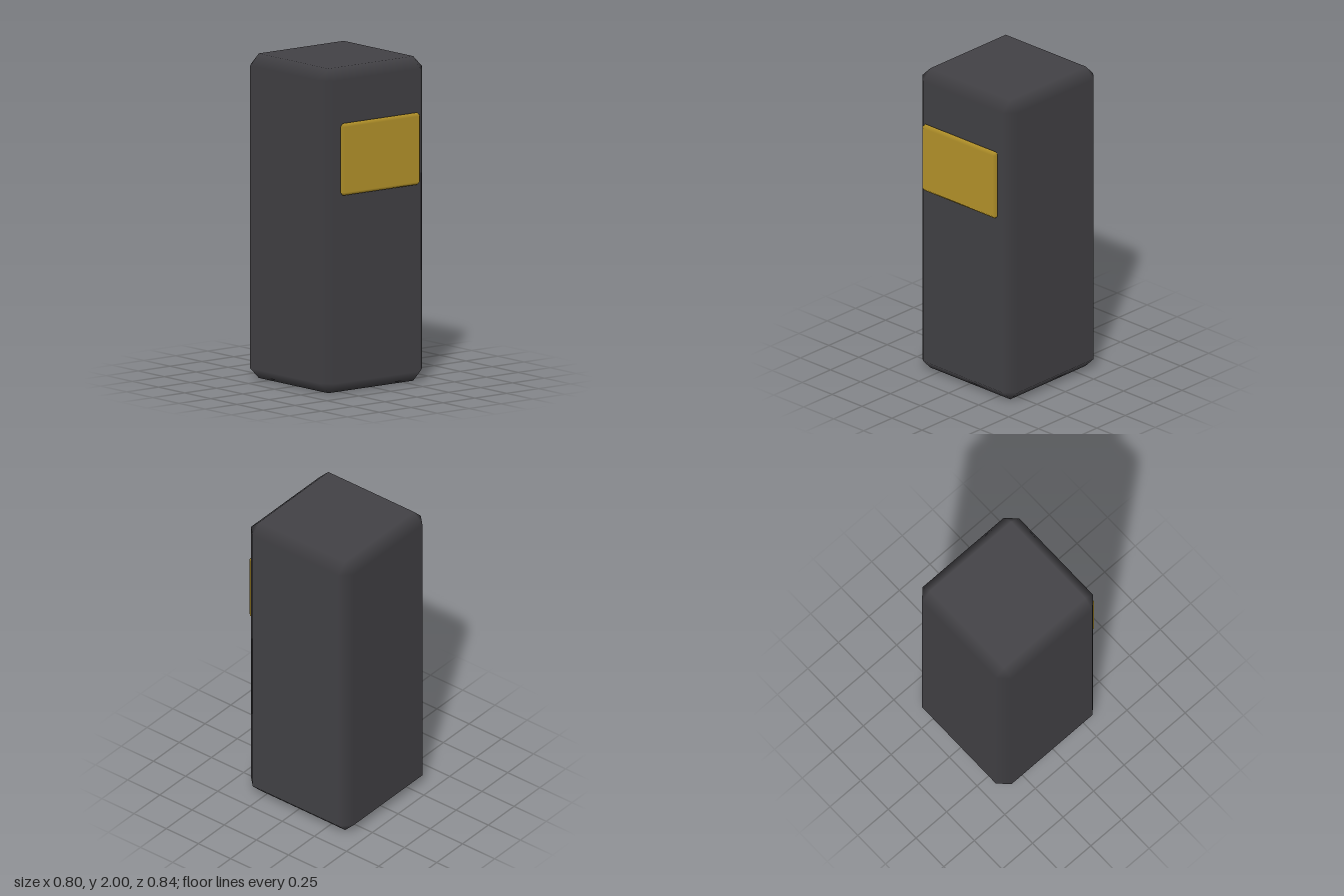
import * as THREE from 'three';
import { ConvexGeometry } from 'three/addons/geometries/ConvexGeometry.js';

// Box with one chamfer on every edge; normals follow the flat faces so the chamfers shade softly
function chamferBox(w, h, d, bevel) {
  const half = [w / 2, h / 2, d / 2];
  const points = [];
  for (const sx of [-1, 1]) for (const sy of [-1, 1]) for (const sz of [-1, 1]) {
    const sign = [sx, sy, sz];
    for (let axis = 0; axis < 3; axis++) {
      points.push(new THREE.Vector3(...half.map((e, i) => sign[i] * (i === axis ? e : e - bevel))));
    }
  }
  const geometry = new ConvexGeometry(points);
  const pos = geometry.attributes.position;
  const normal = geometry.attributes.normal;
  for (let i = 0; i < pos.count; i++) {
    const p = [pos.getX(i), pos.getY(i), pos.getZ(i)];
    normal.setXYZ(i, ...p.map((v, k) => (Math.abs(v) > half[k] - bevel / 2 ? Math.sign(v) : 0)));
  }
  return geometry;
}

export function createModel() {
  const charcoal = new THREE.MeshStandardMaterial({ color: 0x434246 });
  charcoal.name = 'charcoal';
  const mustard = new THREE.MeshStandardMaterial({ color: 0xb8962b });
  mustard.name = 'mustard';

  const model = new THREE.Group();
  model.name = 'cabinet';

  // Tall chamfered body
  const body = new THREE.Mesh(chamferBox(0.8, 2, 0.798, 0.067), charcoal);
  body.name = 'body';
  body.position.set(0, 1, -0.023);
  model.add(body);

  // Plate on the upper front
  const panel = new THREE.Mesh(chamferBox(0.622, 0.444, 0.044, 0.02), mustard);
  panel.name = 'frontPanel';
  panel.position.set(0, 1.448, 0.399);
  model.add(panel);

  return model;
}
